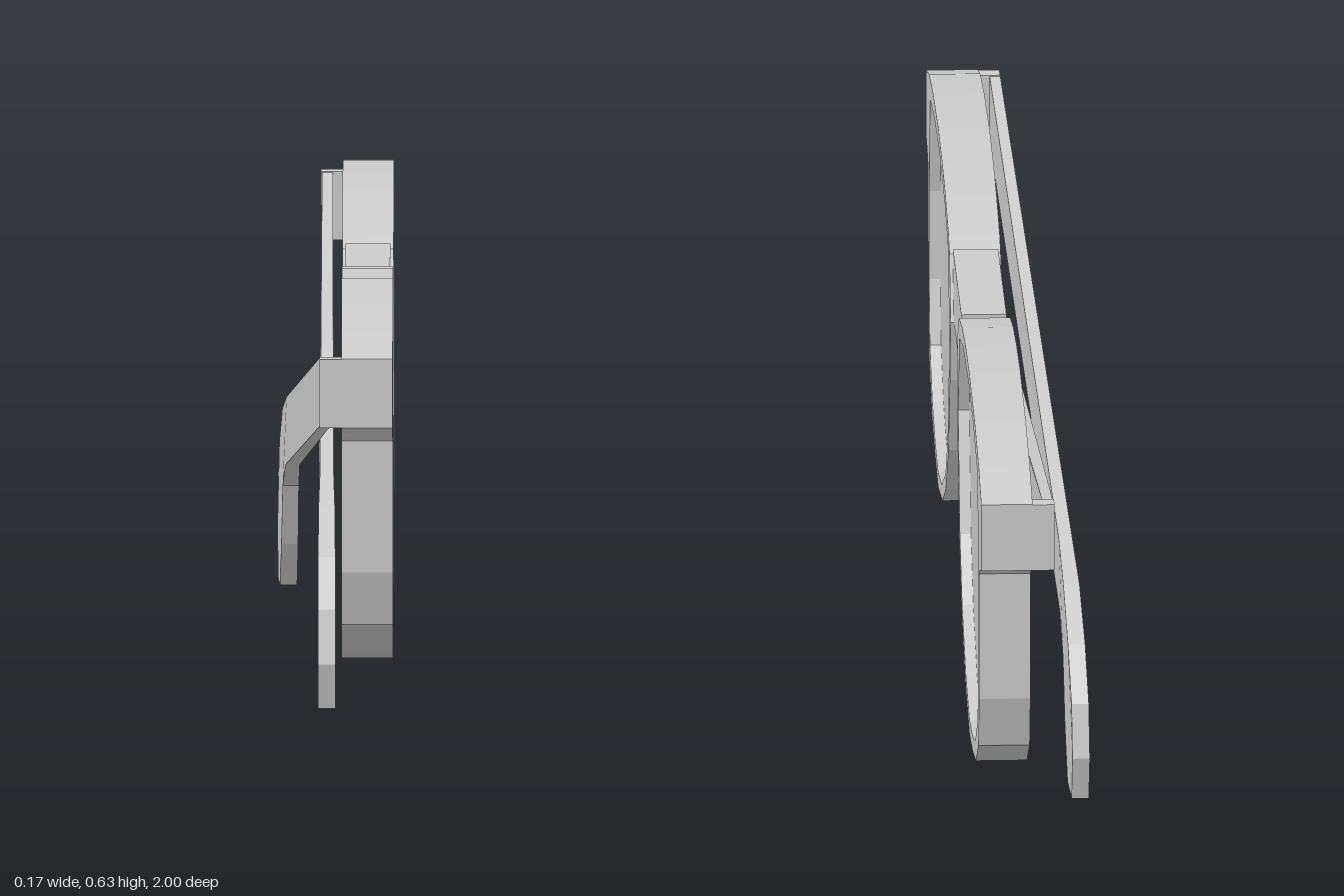
import * as THREE from 'three';

const mat = new THREE.MeshStandardMaterial({ color: 0xcccccc, flatShading: true, side: THREE.DoubleSide });

// Profiles are [distance from the middle, height]
const RIM = [[1, 0.575], [0.9, 0.603], [0.75, 0.623], [0.56, 0.633], [0.42, 0.628], [0.3, 0.615], [0.19, 0.592],
  [0.155, 0.575], [0.115, 0.48], [0.14, 0.38], [0.195, 0.25], [0.29, 0.155], [0.41, 0.095], [0.565, 0.063],
  [0.68, 0.075], [0.8, 0.1], [0.895, 0.157], [0.922, 0.24], [0.926, 0.44], [0.95, 0.455], [1, 0.47]];
const LENS = [[0.86, 0.577], [0.7, 0.602], [0.54, 0.61], [0.33, 0.597], [0.205, 0.565], [0.157, 0.435],
  [0.22, 0.26], [0.3, 0.175], [0.44, 0.11], [0.57, 0.085], [0.68, 0.097], [0.78, 0.125], [0.865, 0.185],
  [0.893, 0.28], [0.893, 0.42]];
// Temple: hinge at negative distance, ear hook at positive
const TEMPLE = [[-0.985, 0.574], [0.4, 0.315], [0.52, 0.28], [0.62, 0.22], [0.69, 0.15], [0.71, 0.07], [0.69, 0],
  [0.61, 0], [0.555, 0.07], [0.51, 0.165], [0.43, 0.208], [-0.985, 0.47]];

const toPoints = (profile, side) => profile.map(([d, y]) => new THREE.Vector2(-side * d, y));

// Extrudes a profile lying in the z-y plane from x0 to x1
function slab(profile, side, x0, x1, hole) {
  const shape = new THREE.Shape(toPoints(profile, side));
  if (hole) shape.holes.push(new THREE.Path(toPoints(hole, side)));
  const geo = new THREE.ExtrudeGeometry(shape, { depth: x1 - x0, bevelEnabled: false });
  return geo.rotateY(Math.PI / 2).translate(x0, 0, 0);
}

// Folded temple: drifts from xHinge to xTip and thickens towards the hook
function temple(side, xHinge, xTip) {
  const geo = slab(TEMPLE, -side, -0.5, 0.5);
  const p = geo.attributes.position;
  for (let i = 0; i < p.count; i++) {
    const t = (0.985 - side * p.getZ(i)) / 1.695;
    const thick = 0.016 + 0.01 * THREE.MathUtils.smoothstep(t, 0.7, 0.95);
    p.setX(i, THREE.MathUtils.lerp(xHinge, xTip, t) + p.getX(i) * thick);
  }
  geo.computeVertexNormals();
  return geo;
}

export function createModel() {
  const group = new THREE.Group();
  const add = (name, geo) => {
    const mesh = new THREE.Mesh(geo, mat);
    mesh.name = name;
    group.add(mesh);
    return mesh;
  };

  for (const side of [1, -1]) {
    const tag = side > 0 ? 'Left' : 'Right';
    add('rim' + tag, slab(RIM, side, 0.01, 0.087, LENS));
    add('lens' + tag, slab(LENS, side, 0.035, 0.07));
    // End piece wrapping back to the hinge
    add('hinge' + tag, new THREE.BoxGeometry(0.106, 0.104, 0.025)).position.set(0.03, 0.522, side * 0.9875);
  }

  // Bridge between the rims
  add('bridge', new THREE.BoxGeometry(0.068, 0.103, 0.3)).position.set(0.048, 0.532, 0);

  // One temple folds behind the other
  add('templeLeft', temple(1, -0.015, -0.075));
  add('templeRight', temple(-1, -0.0135, -0.0125));
  return group;
}
